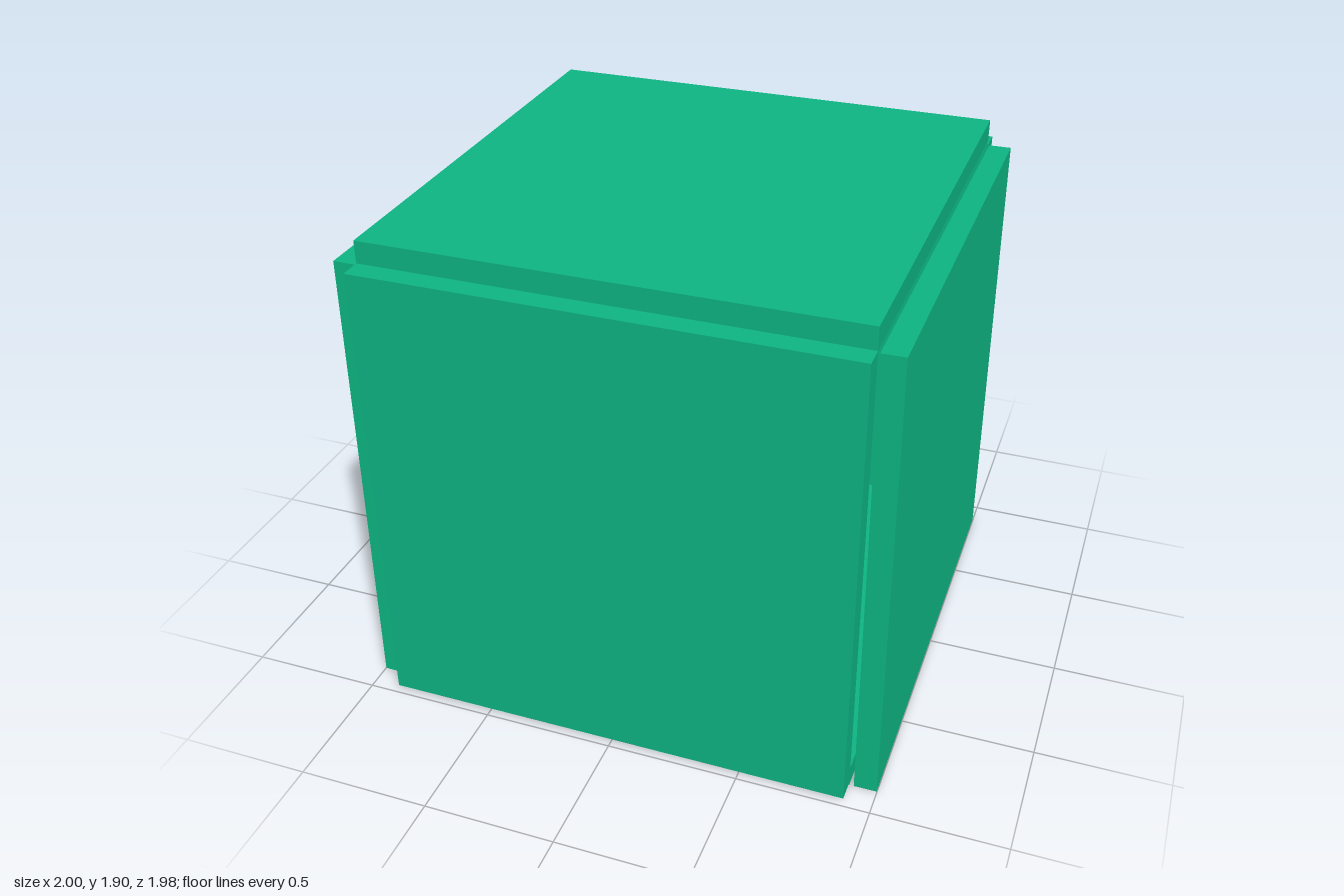
import * as THREE from 'three';

const SIZE = 1.79, THICK = 0.085;

export function createModel() {
  const model = new THREE.Group();
  const material = new THREE.MeshStandardMaterial({ color: 0x0db381, flatShading: true });

  // Square slab, thin along one axis, placed by its centre and slightly tilted
  function panel(name, thinAxis, position, tiltX = 0, tiltZ = 0) {
    const size = { x: SIZE, y: SIZE, z: SIZE, [thinAxis]: THICK };
    const mesh = new THREE.Mesh(new THREE.BoxGeometry(size.x, size.y, size.z), material);
    mesh.name = name;
    mesh.position.set(...position);
    mesh.rotation.set(tiltX, 0, tiltZ);
    model.add(mesh);
  }

  // Walls, each leaning a little
  panel('frontPanel', 'z', [0.002, 0.912, 0.94], 0.006);
  panel('backPanel', 'z', [0.002, 0.901, -0.941], -0.006);
  panel('leftPanel', 'x', [0.95, 0.898, -0.004], 0, 0.007);
  panel('rightPanel', 'x', [-0.953, 0.898, -0.004], 0, -0.004);

  // Lid, rising slightly towards the back, and floor
  panel('topPanel', 'y', [0.002, 1.854, 0.011], 0.006);
  panel('bottomPanel', 'y', [0.002, 0.046, -0.002]);

  return model;
}
